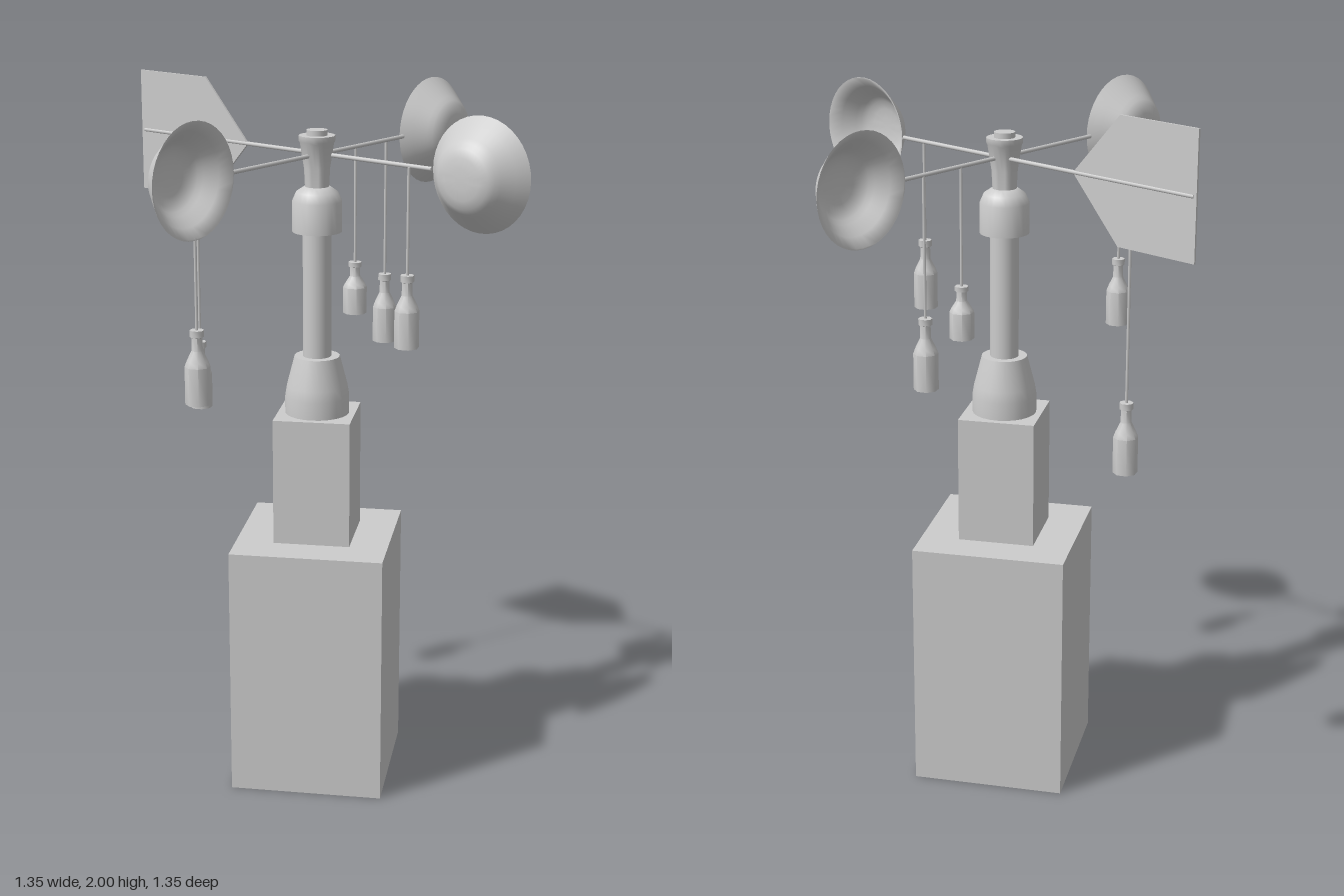
import * as THREE from 'three';
import { toCreasedNormals } from 'three/addons/utils/BufferGeometryUtils.js';

const grey = new THREE.MeshStandardMaterial({ color: 0xcccccc });
grey.name = 'plain grey';

const AXIS_X = -0.008, AXIS_Z = 0.012; // centre of tower
const ARM_X = -0.007, ARM_Z = -0.004;  // where the arms cross
const ARM_Y = 1.827;

function part(name, geometry, x = 0, y = 0, z = 0) {
  const mesh = new THREE.Mesh(geometry, grey);
  mesh.name = name;
  mesh.position.set(x, y, z);
  return mesh;
}

// Turned shape from [radius, height] pairs, listed bottom to top
function turned(profile, sides) {
  const points = profile.map(([r, y]) => new THREE.Vector2(r, y));
  return toCreasedNormals(new THREE.LatheGeometry(points, sides), 0.82);
}

// Thin rod along x
function rod(from, to) {
  const g = new THREE.CylinderGeometry(0.006, 0.006, to - from, 8);
  g.rotateZ(Math.PI / 2);
  g.translate((from + to) / 2, 0, 0);
  return g;
}

function makeTower() {
  const tower = new THREE.Group();
  tower.name = 'tower';
  tower.position.set(AXIS_X, 0, AXIS_Z);
  tower.rotation.y = Math.PI / 6;
  tower.add(
    part('base', new THREE.BoxGeometry(0.436, 0.73, 0.436), 0, 0.365, 0),
    part('plinth', new THREE.BoxGeometry(0.218, 0.365, 0.218), 0, 0.9125, 0),
    part('poleFoot', turned([[0, 1.095], [0.091, 1.095], [0.091, 1.145], [0.086, 1.175],
      [0.064, 1.26], [0, 1.26]], 24)),
    part('pole', new THREE.CylinderGeometry(0.04, 0.04, 0.38, 24), 0, 1.44, 0),
    part('collar', turned([[0, 1.615], [0.069, 1.615], [0.069, 1.7], [0.058, 1.725],
      [0.036, 1.74], [0, 1.74]], 24)),
    part('hub', turned([[0, 1.73], [0.033, 1.73], [0.036, 1.79], [0.047, 1.86], [0.05, 1.865],
      [0.05, 1.88], [0, 1.88]], 24)),
    part('hubCap', new THREE.CylinderGeometry(0.029, 0.029, 0.016, 20), 0, 1.887, 0)
  );
  return tower;
}

// Rounded cup: inner wall first, then the outer wall, bulging along +z
function cupGeometry() {
  const outer = [[0.153, 0], [0.128, 0.03], [0.102, 0.06], [0.092, 0.072], [0.078, 0.083],
    [0.055, 0.09], [0.028, 0.0925], [0, 0.093]];
  const inner = outer.map(([r, y]) => [Math.max(0, r - 0.004), Math.max(0, y - 0.004)]).reverse();
  return turned([...inner, ...outer], 40).rotateX(Math.PI / 2);
}

function makeRotor() {
  const rotor = new THREE.Group();
  rotor.name = 'rotor';
  rotor.position.set(ARM_X, ARM_Y, ARM_Z);

  // Three arms with cups: left, front and back
  const cup = cupGeometry();
  for (const [name, turn] of [['left', 0], ['front', -Math.PI / 2], ['back', Math.PI / 2]]) {
    const arm = new THREE.Group();
    arm.name = name + 'CupArm';
    arm.rotation.y = turn;
    arm.add(part(name + 'Arm', rod(0, 0.373)), part(name + 'Cup', cup, 0.523, 0, -0.01));
    rotor.add(arm);
  }

  // Pointed vane on the right-hand arm
  const outline = [[-0.263, 0], [-0.42, 0.173], [-0.672, 0.173], [-0.672, -0.173], [-0.42, -0.173]];
  const shape = new THREE.Shape(outline.map(([x, y]) => new THREE.Vector2(x, y)));
  const vane = new THREE.ExtrudeGeometry(shape, { depth: 0.006, bevelEnabled: false });
  rotor.add(part('vaneArm', rod(-0.662, 0)), part('vane', vane, 0, 0, -0.003));
  return rotor;
}

// Bottle on a string, hanging from the height "from"
function makeHangingBottle(bottle, x, z, bottom, height, from) {
  const group = new THREE.Group();
  group.name = 'hangingBottle';
  group.position.set(x, 0, z);
  const body = part('bottle', bottle, 0, bottom, 0);
  body.scale.y = height / 0.2;
  const top = bottom + height;
  const string = new THREE.CylinderGeometry(0.004, 0.004, from - top, 6);
  group.add(body, part('string', string, 0, (from + top) / 2, 0));
  return group;
}

export function createModel() {
  const model = new THREE.Group();
  model.name = 'windCupTower';
  model.add(makeTower(), makeRotor());

  const bottle = turned([[0, 0], [0.034, 0], [0.034, 0.102], [0.028, 0.118], [0.015, 0.145],
    [0.014, 0.18], [0.019, 0.182], [0.019, 0.2], [0, 0.2]], 8);
  const hangers = [
    [-0.453, 0.014, 1.025, 0.2, ARM_Y],
    [0.305, 0.014, 1.337, 0.2, ARM_Y],
    [0.0, 0.516, 1.238, 0.2, 1.68],
    [-0.009, -0.16, 1.35, 0.148, ARM_Y],
    [-0.009, -0.3, 1.238, 0.2, ARM_Y],
  ];
  for (const h of hangers) model.add(makeHangingBottle(bottle, ...h));
  return model;
}
